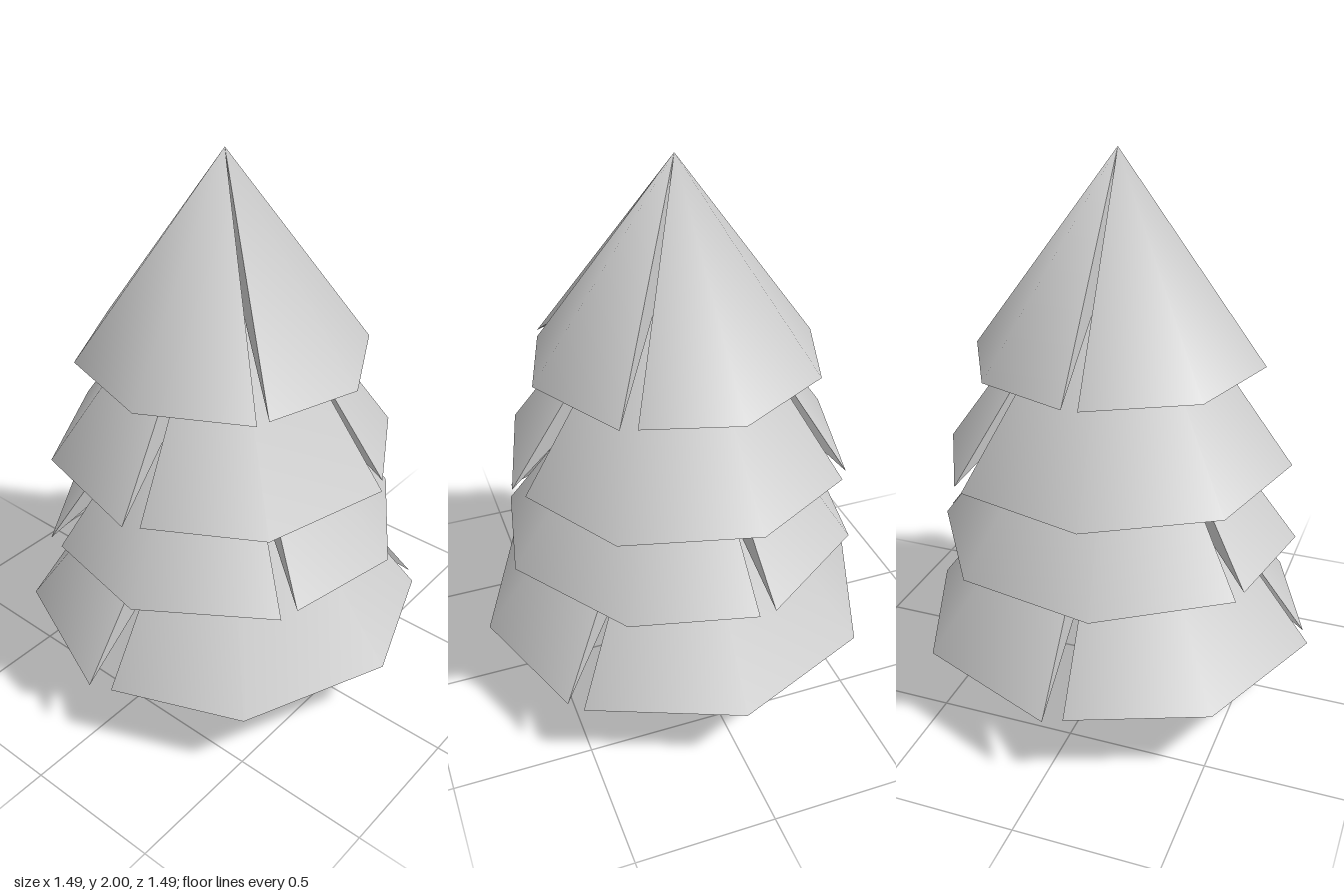
import * as THREE from 'three';

const material = new THREE.MeshStandardMaterial({ color: 0xcccccc });

// Each tier is an eight-sided cone with a hollow underside, slit into three
// solid sectors. Corner angles run in degrees from the back (-z) towards +x; a
// sector ending in the middle of a cone side ("cut") stops short of the radius.
const CUT = 0.9635;
const HOLLOW = 0.58; // height of the hollow relative to the tier
const tiers = [
  { name: 'bottomTier', radius: 0.743, base: 0.237, apex: 1.21, sectors: [
    { angles: [0, 45, 90, 135] },
    { angles: [140, 180, 225, 264], cut: true },
    { angles: [270, 315, 355], cut: true } ] },
  { name: 'lowerMiddleTier', radius: 0.661, base: 0.598, apex: 1.49, sectors: [
    { angles: [303.5, 348.5, 393.5, 438.5] },
    { angles: [84, 123.5, 168.5, 207.5], cut: true },
    { angles: [213.5, 258.5, 298], cut: true } ] },
  { name: 'upperMiddleTier', radius: 0.631, base: 0.909, apex: 1.79, sectors: [
    { angles: [42, 82, 127, 166.5], cut: true },
    { angles: [172, 217, 257], cut: true },
    { angles: [262, 307, 352, 397] } ] },
  { name: 'topTier', radius: 0.523, base: 1.28, apex: 2, sectors: [
    { angles: [0, 39, 84, 123], cut: true },
    { angles: [129, 174, 214], cut: true },
    { angles: [219, 264, 309, 354] } ] },
];

// Solid sector: smooth outer fan, smooth underside fan and two flat slit walls
function sectorGeometry({ radius, base, apex }, { angles, cut }) {
  const positions = [], normals = [];
  const top = new THREE.Vector3(0, apex, 0);
  const inner = new THREE.Vector3(0, base + HOLLOW * (apex - base), 0);
  const up = new THREE.Vector3(0, 1, 0);
  const down = new THREE.Vector3(0, -1, 0);

  const dirs = angles.map((degrees) => {
    const a = THREE.MathUtils.degToRad(degrees);
    return new THREE.Vector3(Math.sin(a), 0, -Math.cos(a));
  });
  const rim = dirs.map((d, i) => {
    const r = cut && i === dirs.length - 1 ? radius * CUT : radius;
    return d.clone().multiplyScalar(r).setY(base);
  });
  const outward = dirs.map((d) => d.clone().multiplyScalar(apex - base).setY(radius).normalize());
  const inward = dirs.map((d) => d.clone().multiplyScalar(base - inner.y).setY(-radius).normalize());

  const triangle = (corners, cornerNormals) => {
    corners.forEach((p) => positions.push(p.x, p.y, p.z));
    cornerNormals.forEach((n) => normals.push(n.x, n.y, n.z));
  };
  const wall = (a, b, c) => {
    const n = b.clone().sub(a).cross(c.clone().sub(a)).normalize();
    triangle([a, b, c], [n, n, n]);
  };

  for (let i = 0; i < rim.length - 1; i++) {
    triangle([top, rim[i + 1], rim[i]], [up, outward[i + 1], outward[i]]);
    triangle([inner, rim[i], rim[i + 1]], [down, inward[i], inward[i + 1]]);
  }
  wall(top, rim[0], inner);
  wall(top, inner, rim[rim.length - 1]);

  const geometry = new THREE.BufferGeometry();
  geometry.setAttribute('position', new THREE.Float32BufferAttribute(positions, 3));
  geometry.setAttribute('normal', new THREE.Float32BufferAttribute(normals, 3));
  return geometry;
}

export function createModel() {
  const tree = new THREE.Group();
  tree.name = 'tree';

  // Tapered trunk, ending inside the foliage
  const trunk = new THREE.Mesh(new THREE.CylinderGeometry(0.065, 0.098, 0.9, 8), material);
  trunk.name = 'trunk';
  trunk.position.set(0.006, 0.45, 0.002);
  tree.add(trunk);

  // Foliage tiers
  for (const tier of tiers) {
    const group = new THREE.Group();
    group.name = tier.name;
    tier.sectors.forEach((sector, i) => {
      const mesh = new THREE.Mesh(sectorGeometry(tier, sector), material);
      mesh.name = `branchSector${i + 1}`;
      group.add(mesh);
    });
    tree.add(group);
  }
  return tree;
}
